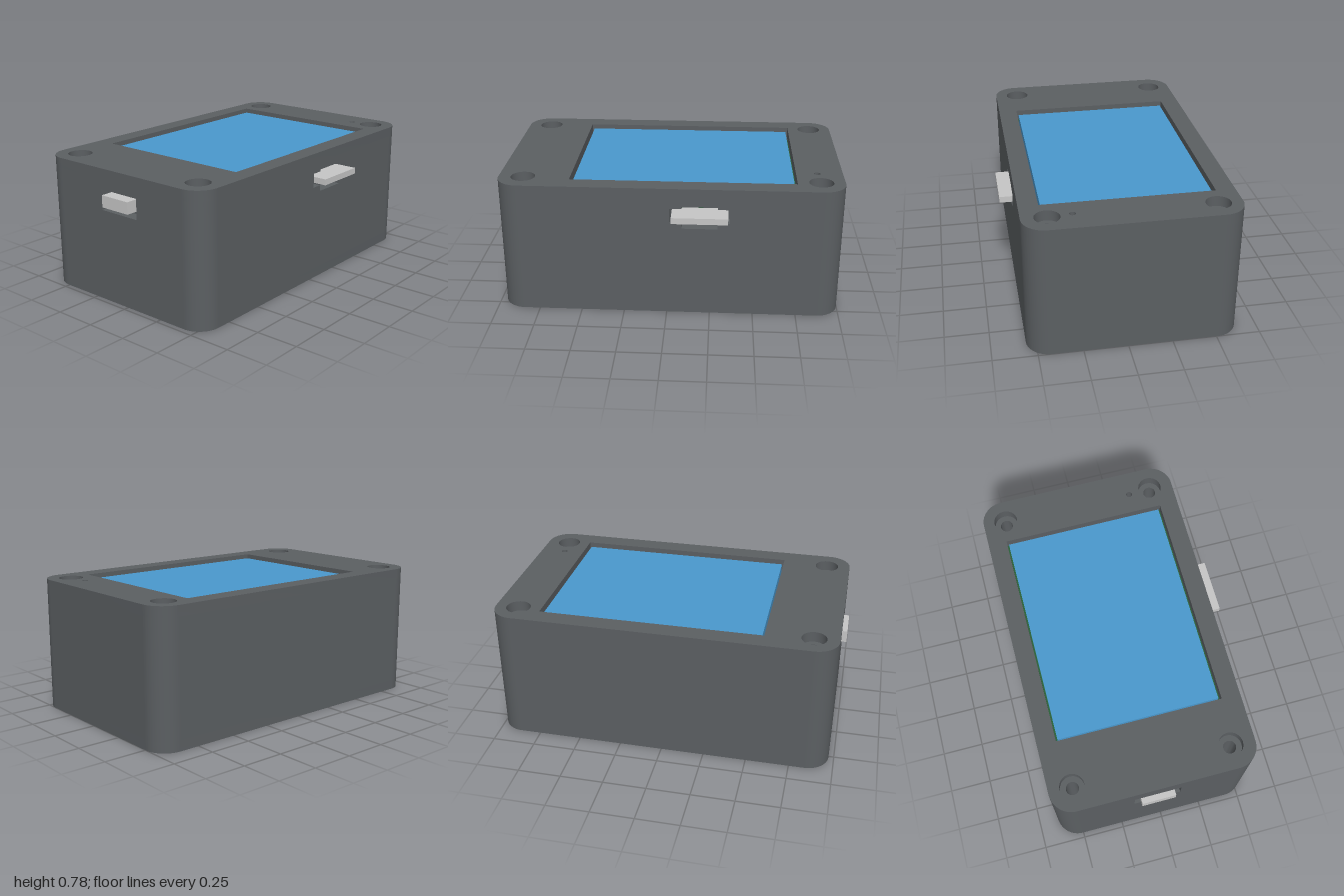
import * as THREE from 'three';
import { toCreasedNormals } from 'three/addons/utils/BufferGeometryUtils.js';

const X0 = -0.635, X1 = 0.555, Z0 = -1, Z1 = 0.97; // case footprint
const H = 0.78, WALL = 0.07, PLATE = 0.06, R = 0.13;
const SCREWS = [-0.5, 0.415].flatMap(x => [-0.865, 0.83].map(z => [x, z]));

const material = (name, color) => {
  const m = new THREE.MeshStandardMaterial({ color });
  m.name = name;
  return m;
};

function roundedRect(x0, y0, x1, y1, r) {
  const s = new THREE.Shape();
  s.absarc(x1 - r, y0 + r, r, -Math.PI / 2, 0);
  s.absarc(x1 - r, y1 - r, r, 0, Math.PI / 2);
  s.absarc(x0 + r, y1 - r, r, Math.PI / 2, Math.PI);
  s.absarc(x0 + r, y0 + r, r, Math.PI, Math.PI * 1.5);
  s.closePath();
  return s;
}

const polygon = (points, Type = THREE.Shape) =>
  new Type(points.map(([x, y]) => new THREE.Vector2(x, y)));
const rect = (x0, y0, x1, y1, Type) =>
  polygon([[x0, y0], [x1, y0], [x1, y1], [x0, y1]], Type);
const circle = (x, y, r, Type = THREE.Path) => new Type().absarc(x, y, r, 0, Math.PI * 2);

function extrude(shape, depth) {
  return new THREE.ExtrudeGeometry(shape, { depth, bevelEnabled: false, curveSegments: 16 });
}

// Extrudes an outline drawn in (x, z) upwards from y
function slab(shape, y, height) {
  const g = extrude(shape, height).rotateX(Math.PI / 2).translate(0, y + height, 0);
  return toCreasedNormals(g, 0.5);
}

export function createModel() {
  const group = new THREE.Group();
  const grey = material('case grey', 0x5b5f62);
  const blue = material('screen blue', 0x4a98cd);
  const green = material('board green', 0x2a6039);
  const silver = material('connector silver', 0xc6c6c6);

  const add = (name, geometry, mat) => {
    const mesh = new THREE.Mesh(geometry, mat);
    mesh.name = name;
    group.add(mesh);
    return mesh;
  };
  const box = (name, mat, x0, x1, y0, y1, z0, z1) =>
    add(name, new THREE.BoxGeometry(x1 - x0, y1 - y0, z1 - z0)
      .translate((x0 + x1) / 2, (y0 + y1) / 2, (z0 + z1) / 2), mat);

  // Top plate with window, screw recesses and indicator hole
  const top = roundedRect(X0, Z0, X1, Z1, R);
  top.holes.push(rect(-0.525, -0.73, 0.445, 0.56, THREE.Path), circle(0.28, -0.852, 0.018));
  for (const [x, z] of SCREWS) top.holes.push(circle(x, z, 0.07));
  add('topPlate', slab(top, H - PLATE, PLATE), grey);

  // Floor with screw recesses, vent slots and two small holes
  const floor = roundedRect(X0, Z0, X1, Z1, R);
  for (const [x, z] of SCREWS) floor.holes.push(circle(x, z, 0.07));
  for (let i = 0; i < 6; i++) {
    const x = -0.05 + (i - 2.5) * 0.086;
    floor.holes.push(rect(x - 0.02, -0.37, x + 0.02, 0.24, THREE.Path));
  }
  floor.holes.push(circle(0.205, 0.84, 0.027), circle(-0.3, 0.84, 0.027));
  add('floor', slab(floor, 0, PLATE), grey);

  // Screw posts, hollow from top to bottom
  for (const [x, z] of SCREWS) {
    const post = circle(x, z, 0.085, THREE.Shape);
    post.holes.push(circle(x, z, 0.037));
    add('screwPost', slab(post, PLATE, H - 2 * PLATE), grey);
  }

  // Rounded corners of the wall
  const corners = [[X1 - R, Z1 - R], [X0 + R, Z1 - R], [X0 + R, Z0 + R], [X1 - R, Z0 + R]];
  corners.forEach(([x, z], i) => {
    const a = i * Math.PI / 2, b = a + Math.PI / 2;
    const s = new THREE.Shape();
    s.absarc(x, z, R, a, b);
    s.absarc(x, z, R - WALL, b, a, true);
    s.closePath();
    add('wallCorner', slab(s, PLATE, H - 2 * PLATE), grey);
  });

  // Front and back walls
  const y0 = PLATE, y1 = H - PLATE;
  const front = rect(X0 + R, y0, X1 - R, y1);
  front.holes.push(rect(-0.177, 0.54, 0.095, 0.66, THREE.Path));
  add('frontWall', extrude(front, WALL).translate(0, 0, Z1 - WALL), grey);
  box('backWall', grey, X0 + R, X1 - R, y0, y1, Z0, Z0 + WALL);

  // Side walls; the right one has a stepped card opening
  box('leftWall', grey, X0, X0 + WALL, y0, y1, Z0 + R, Z1 - R);
  const side = rect(R - Z1, y0, -Z0 - R, y1);
  side.holes.push(polygon([
    [0.018, 0.575], [0.085, 0.575], [0.085, 0.54], [0.288, 0.54], [0.288, 0.575], [0.355, 0.575],
    [0.355, 0.66], [0.288, 0.66], [0.288, 0.672], [0.085, 0.672], [0.085, 0.66], [0.018, 0.66],
  ], THREE.Path));
  add('cardWall', extrude(side, WALL).rotateY(Math.PI / 2).translate(X1 - WALL, 0, 0), grey);

  // Circuit board and display
  const board = rect(X0 + WALL, Z0 + WALL, X1 - WALL, Z1 - WALL);
  for (const [x, z] of SCREWS) board.holes.push(circle(x, z, 0.042));
  add('circuitBoard', slab(board, 0.64, 0.04), green);
  box('screen', blue, -0.515, 0.432, 0.68, 0.755, -0.718, 0.546);

  // Connector at the front, card and its slot at the side
  box('frontConnector', silver, -0.14, 0.057, 0.57, 0.64, 0.72, 1);
  box('memoryCard', silver, 0.15, 0.63, 0.602, 0.638, -0.345, -0.028);
  box('cardSlot', silver, 0.1, 0.5, 0.592, 0.6, -0.345, -0.028);
  box('cardLatch', silver, 0.4, 0.5, 0.584, 0.592, -0.23, -0.145);

  return group;
}
